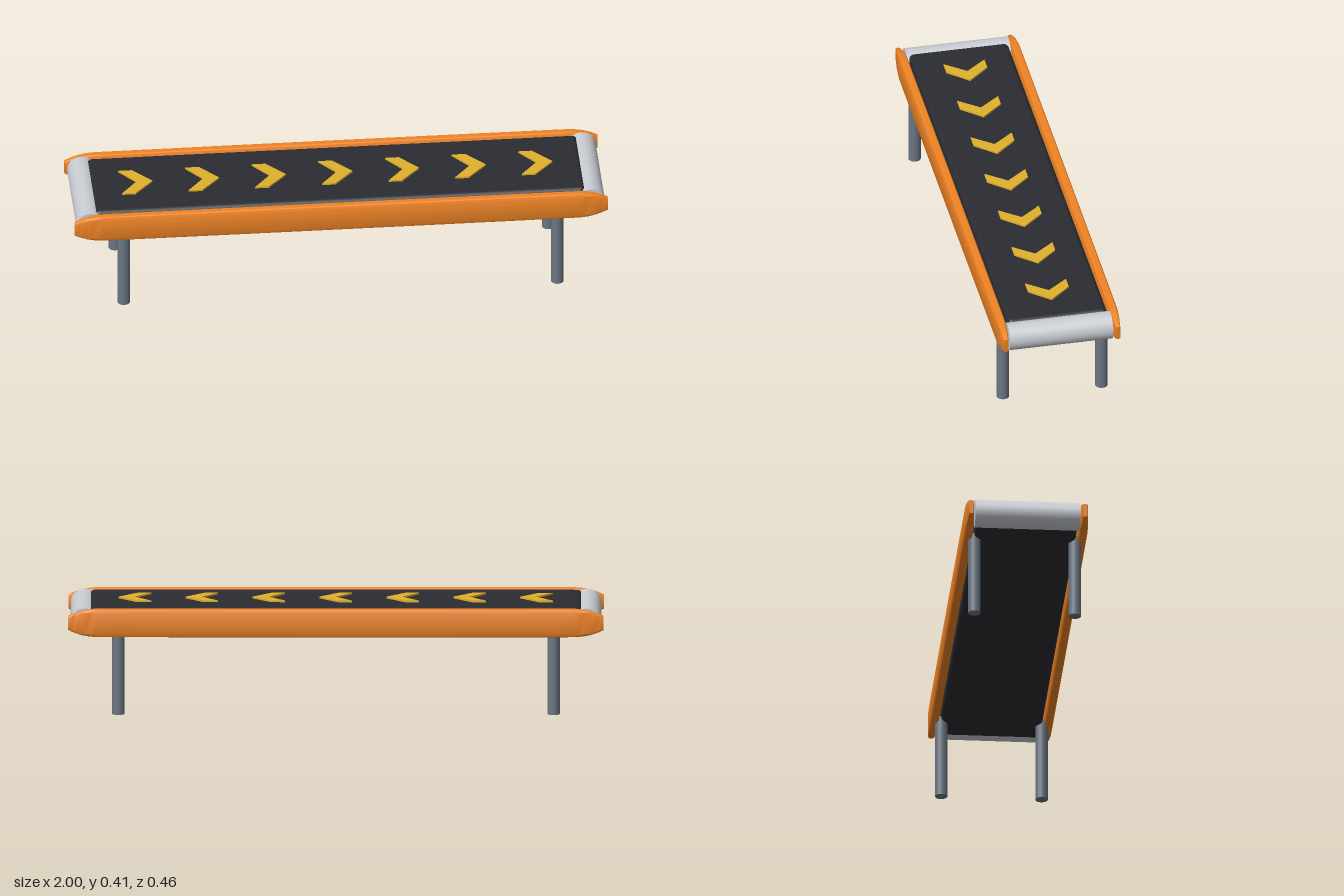
import * as THREE from 'three';
import { toCreasedNormals } from 'three/addons/utils/BufferGeometryUtils.js';
import { RoundedBoxGeometry } from 'three/addons/geometries/RoundedBoxGeometry.js';

const MID_Y = 0.351;
const paint = (color) => new THREE.MeshStandardMaterial({ color });

// Rounded bar along x whose section shrinks smoothly at both ends
function railGeometry() {
  const h = 0.054, d = 0.0165, r = 0.012;
  const s = new THREE.Shape();
  s.moveTo(-d + r, -h);
  s.lineTo(d - r, -h);
  s.quadraticCurveTo(d, -h, d, -h + r);
  s.lineTo(d, h - r);
  s.quadraticCurveTo(d, h, d - r, h);
  s.lineTo(-d + r, h);
  s.quadraticCurveTo(-d, h, -d, h - r);
  s.lineTo(-d, -h + r);
  s.quadraticCurveTo(-d, -h, -d + r, -h);
  const geo = new THREE.ExtrudeGeometry(s, { depth: 2, steps: 48, bevelEnabled: false, curveSegments: 5 });
  geo.translate(0, 0, -1).rotateY(Math.PI / 2);
  const p = geo.attributes.position;
  for (let i = 0; i < p.count; i++) {
    const x = Math.sin(p.getX(i) * Math.PI / 2);
    const u = Math.max(0, (Math.abs(x) - 0.88) / 0.12);
    const bow = 1 - 0.02 * x * x;
    p.setXYZ(i, x, p.getY(i) * bow * (1 - 0.5 * u ** 2.3), p.getZ(i) * bow * (1 - 0.5 * u ** 2));
  }
  return toCreasedNormals(geo, 0.7);
}

// Flat arrow mark pointing to +x
function chevronGeometry() {
  const s = new THREE.Shape([
    [-0.06, -0.078], [-0.008, -0.078], [0.062, 0], [-0.008, 0.078], [-0.06, 0.078], [0.002, 0],
  ].map(([x, y]) => new THREE.Vector2(x, y)));
  return new THREE.ExtrudeGeometry(s, { depth: 0.01, bevelEnabled: false }).rotateX(-Math.PI / 2);
}

export function createModel() {
  const model = new THREE.Group();
  model.name = 'conveyor';
  const add = (name, geo, mat, x, y, z) => {
    const mesh = new THREE.Mesh(geo, mat);
    mesh.name = name;
    mesh.position.set(x, y, z);
    model.add(mesh);
  };

  const orange = paint(0xf08425), dark = paint(0x2b2c31), yellow = paint(0xe0b02c);
  const silver = paint(0xc9cdd3), steel = paint(0x6b7683);

  // Belt
  add('belt', new RoundedBoxGeometry(1.84, 0.105, 0.38, 4, 0.02), dark, 0, MID_Y, 0);

  // Arrow marks along the belt
  const chevron = chevronGeometry();
  for (let i = -3; i <= 3; i++) add('chevron', chevron, yellow, i * 0.25, 0.4, 0);

  // Side rails, end rollers and legs
  const rail = railGeometry();
  const roller = new THREE.CylinderGeometry(0.052, 0.052, 0.394, 40).rotateX(Math.PI / 2);
  const leg = new THREE.CylinderGeometry(0.0235, 0.0235, 0.32, 24);
  for (const side of [1, -1]) {
    add(side > 0 ? 'frontRail' : 'backRail', rail, orange, 0, MID_Y, side * 0.2135);
    add(side > 0 ? 'leftRoller' : 'rightRoller', roller, silver, side * 0.939, MID_Y, 0);
    for (const end of [1, -1]) {
      add(side > 0 ? 'frontLeg' : 'backLeg', leg, steel, end * 0.813, 0.16, side * 0.188);
    }
  }
  return model;
}
